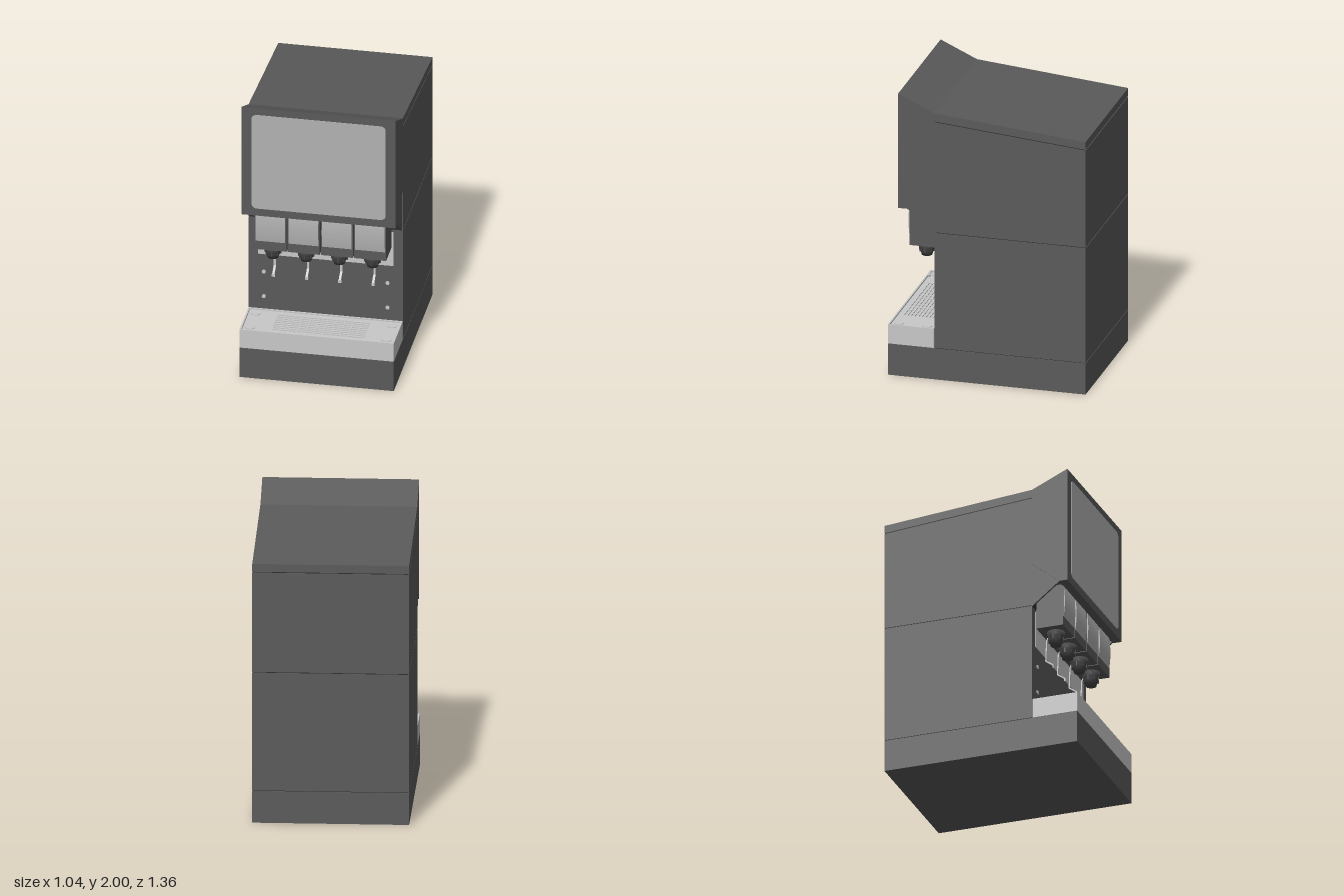
import * as THREE from 'three';

const mat = (name, color, side = THREE.FrontSide) => {
  const m = new THREE.MeshStandardMaterial({ color, side });
  m.name = name;
  return m;
};

// Rounded rectangle outline centred on (cx, cy)
function roundRect(cx, cy, w, h, r, Type = THREE.Shape) {
  const s = new Type(), x = w / 2 - r, y = h / 2 - r;
  s.absarc(cx + x, cy + y, r, 0, Math.PI / 2);
  s.absarc(cx - x, cy + y, r, Math.PI / 2, Math.PI);
  s.absarc(cx - x, cy - y, r, Math.PI, Math.PI * 1.5);
  s.absarc(cx + x, cy - y, r, Math.PI * 1.5, Math.PI * 2);
  s.closePath();
  return s;
}

const extrude = (shape, depth, curveSegments = 6) =>
  new THREE.ExtrudeGeometry(shape, { depth, bevelEnabled: false, curveSegments });

// Side profile given as [z, y] points, extruded across x
function prism(points, width, x = 0) {
  const g = extrude(new THREE.Shape(points.map(p => new THREE.Vector2(...p))), width);
  return g.translate(0, 0, -width / 2).rotateY(-Math.PI / 2).translate(x, 0, 0);
}

export function createModel() {
  const root = new THREE.Group();
  root.name = 'drinkDispenser';
  const casing = mat('casing grey', 0x5a5a5a);
  const dark = mat('recess dark', 0x2c2c2c);
  const nozzleGrey = mat('nozzle grey', 0x484848);
  const steel = mat('steel', 0xc8c8c8);
  const screen = mat('panel grey', 0xb2b2b2);

  const add = (parent, name, geometry, material, x = 0, y = 0, z = 0) => {
    const m = new THREE.Mesh(geometry, material);
    m.name = name;
    m.position.set(x, y, z);
    parent.add(m);
    return m;
  };
  const box = (parent, name, material, [x0, x1], [y0, y1], [z0, z1]) =>
    add(parent, name, new THREE.BoxGeometry(x1 - x0, y1 - y0, z1 - z0), material,
      (x0 + x1) / 2, (y0 + y1) / 2, (z0 + z1) / 2);

  // Cabinet: stacked sections around a dark core that shows in the seams
  const W = 1.04, back = -0.68, front = 0.36;
  box(root, 'base', casing, [-W / 2, W / 2], [0, 0.219], [back, 0.68]);
  box(root, 'lowerCabinet', casing, [-W / 2, W / 2], [0.224, 1.037], [back, front]);
  add(root, 'upperCabinet', prism(
    [[back, 1.043], [front, 1.043], [front, 1.822], [back, 1.729]], W), casing);
  add(root, 'lid', prism(
    [[back, 1.736], [front, 1.829], [front, 1.886], [back, 1.79]], W), casing);
  add(root, 'seamCore', prism(
    [[back + 0.005, 0.1], [front - 0.005, 0.1], [front - 0.005, 1.87], [back + 0.005, 1.77]],
    W - 0.01), dark);

  // Overhanging head with its display panel
  add(root, 'head', prism(
    [[front, 1.345], [0.55, 1.19], [0.61, 1.19], [0.61, 2], [front, 1.886]], W), casing);
  add(root, 'displayPanel', extrude(roundRect(0, 1.597, 0.905, 0.705, 0.035), 0.004),
    screen, 0, 0, 0.609);

  // Triangular cheeks under the head and the dark recess between them
  for (const s of [-1, 1]) {
    add(root, 'cheek', prism([[front, 1.04], [0.55, 1.19], [front, 1.345]], 0.015, s * 0.508), casing);
  }
  box(root, 'valveRecess', dark, [-0.5, 0.5], [1.042, 1.3], [0.358, 0.363]);

  // Splash plate and its screws
  box(root, 'splashPlate', steel, [-0.457, 0.457], [0.767, 1.02], [0.358, 0.364]);
  for (const x of [-0.417, 0.417]) for (const y of [0.45, 0.635]) {
    add(root, 'screw', new THREE.CylinderGeometry(0.014, 0.014, 0.01, 8).rotateX(Math.PI / 2),
      steel, x, y, 0.362);
  }

  // Valves: body, bowed cover, nozzle and lever
  const coverShape = new THREE.Shape();
  coverShape.moveTo(0.54, 0.97);
  coverShape.lineTo(0.554, 0.97);
  coverShape.quadraticCurveTo(0.57, 1.08, 0.554, 1.188);
  coverShape.lineTo(0.54, 1.188);
  coverShape.closePath();
  const coverGeo = extrude(coverShape, 0.2, 10).translate(0, 0, -0.1).rotateY(-Math.PI / 2);

  const nozzlePoints = [[0, 0.81], [0.036, 0.81], [0.042, 0.835], [0.05, 0.84],
    [0.055, 0.872], [0.06, 0.875], [0.06, 0.906], [0, 0.906]];
  const nozzleGeo = new THREE.LatheGeometry(nozzlePoints.map(p => new THREE.Vector2(...p)), 20);

  const leverGeo = prism([[0.415, 0.905], [0.395, 0.85], [0.389, 0.705], [0.442, 0.668],
    [0.442, 0.652], [0.449, 0.652], [0.449, 0.673], [0.397, 0.709], [0.403, 0.85],
    [0.423, 0.905]], 0.016);

  for (let i = 0; i < 4; i++) {
    const valve = new THREE.Group();
    valve.name = 'valve';
    valve.position.x = (i - 1.5) * 0.224;
    root.add(valve);
    box(valve, 'valveBody', casing, [-0.108, 0.108], [0.905, 1.2], [front, 0.552]);
    add(valve, 'valveCover', coverGeo, screen);
    add(valve, 'nozzle', nozzleGeo, nozzleGrey, 0, 0, 0.462);
    for (let k = 0; k < 8; k++) {
      const a = (k / 8) * Math.PI * 2;
      const rib = add(valve, 'nozzleRib', new THREE.BoxGeometry(0.008, 0.035, 0.008), nozzleGrey,
        Math.sin(a) * 0.052, 0.857, 0.462 + Math.cos(a) * 0.052);
      rib.rotation.y = a;
    }
    add(valve, 'lever', leverGeo, steel);
    box(valve, 'leverFoot', steel, [-0.011, 0.011], [0.651, 0.668], [0.441, 0.45]);
  }

  // Drip tray: open frame, floor and slotted grate
  const tray = new THREE.Group();
  tray.name = 'dripTray';
  tray.position.z = 0.522;
  root.add(tray);
  const flat = (shape, depth) => extrude(shape, depth, 4).rotateX(-Math.PI / 2);
  const frame = roundRect(0, 0, W, 0.316, 0.002);
  frame.holes.push(roundRect(0, 0, W - 0.022, 0.294, 0.002, THREE.Path));
  add(tray, 'trayFrame', flat(frame, 0.136), steel, 0, 0.222, 0);
  box(tray, 'trayFloor', steel, [-0.51, 0.51], [0.222, 0.338], [-0.148, 0.148]);

  const grate = roundRect(0, 0, W - 0.024, 0.292, 0.002);
  for (let r = 0; r < 9; r++) for (let c = 0; c < 11; c++) {
    grate.holes.push(roundRect((c - 5) * 0.057, (r - 4) * 0.025, 0.051, 0.013, 0.006, THREE.Path));
  }
  add(tray, 'grate', flat(grate, 0.007), steel, 0, 0.342, 0);
  for (const x of [-0.46, 0.46]) for (const z of [-0.098, 0.098]) {
    add(tray, 'grateStud', new THREE.CylinderGeometry(0.033, 0.033, 0.006, 20), steel, x, 0.351, z);
  }
  return root;
}
